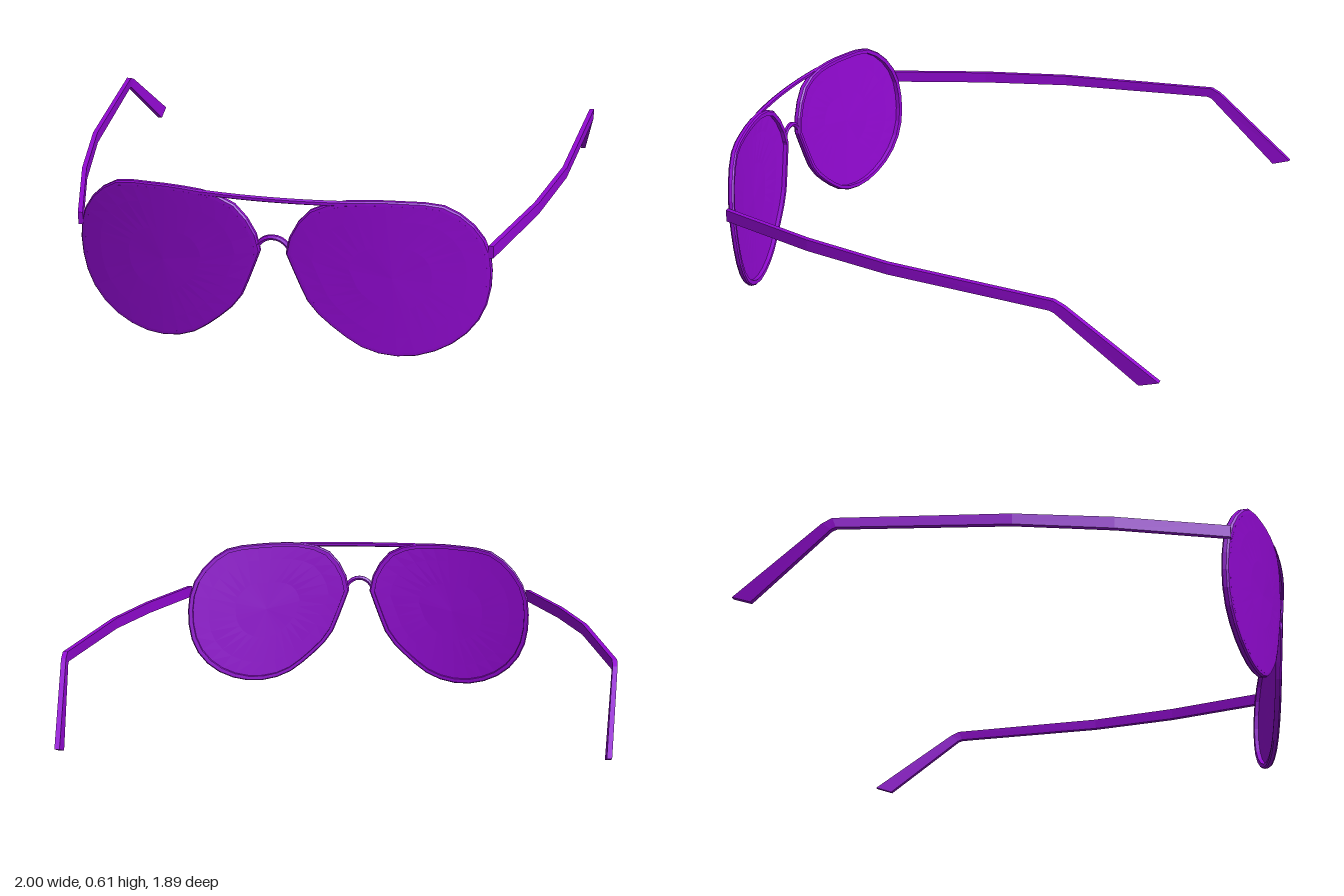
import * as THREE from 'three';

const V = (x, y, z) => new THREE.Vector3(x, y, z);

// Skin a list of closed cross-section loops; side = -1 mirrors across x.
function loft(sections, side) {
  const pos = [];
  const put = (...pts) => pts.forEach(p => pos.push(p.x * side, p.y, p.z));
  const tri = (a, b, c) => (side > 0 ? put(a, b, c) : put(a, c, b));
  for (let i = 0; i < sections.length - 1; i++) {
    const s = sections[i], t = sections[i + 1], n = s.length;
    for (let j = 0; j < n; j++) {
      const k = (j + 1) % n;
      if (!s[j].equals(s[k])) tri(s[j], s[k], t[k]);
      if (!t[j].equals(t[k])) tri(s[j], t[k], t[j]);
    }
  }
  const g = new THREE.BufferGeometry();
  g.setAttribute('position', new THREE.Float32BufferAttribute(pos, 3));
  g.computeVertexNormals();
  return g;
}

// Wrapped and tilted surface that the lenses and bridges follow.
const faceZ = (x, y) => 0.943 - 0.25 * x * x - 0.075 * (0.61 - y);

// Teardrop lens outline, clockwise from the top.
const outline = new THREE.CatmullRomCurve3([
  [0.32, 0.615], [0.46, 0.61], [0.58, 0.593], [0.68, 0.515], [0.735, 0.41], [0.737, 0.23],
  [0.69, 0.12], [0.6, 0.042], [0.47, 0.004], [0.33, 0.028], [0.215, 0.11], [0.125, 0.205],
  [0.075, 0.325], [0.045, 0.405], [0.072, 0.495], [0.135, 0.575], [0.22, 0.607],
].map(p => V(p[0], p[1], 0)), true).getSpacedPoints(32).slice(0, 32);

// Outline shrunk towards the lens centre and pushed onto the face surface.
function ring(scale, depth) {
  return outline.map(p => {
    const x = 0.41 + (p.x - 0.41) * scale, y = 0.32 + (p.y - 0.32) * scale;
    return V(x, y, faceZ(x, y) + depth);
  });
}

// Temple arm stations: [centre x, top y, top z, bottom y, bottom z].
const armStations = [
  [0.738, 0.436, 0.795, 0.39, 0.795],
  [0.857, 0.445, 0.4, 0.4, 0.4],
  [0.931, 0.453, 0.05, 0.411, 0.05],
  [0.991, 0.467, -0.585, 0.428, -0.57],
  [0.99, 0.45, -0.622, 0.422, -0.588],
  [0.951, 0.207, -0.95, 0.182, -0.88],
];

function armSections() {
  const half = 0.009;
  const loops = armStations.map(([x, ty, tz, by, bz]) => [
    V(x - half, ty, tz), V(x + half, ty, tz), V(x + half, by, bz), V(x - half, by, bz),
  ]);
  const cap = ([x, ty, tz, by, bz]) => Array.from({ length: 4 }, () => V(x, (ty + by) / 2, (tz + bz) / 2));
  return [cap(armStations[0]), ...loops, cap(armStations[armStations.length - 1])];
}

export function createModel() {
  const model = new THREE.Group();
  model.name = 'sunglasses';
  const purple = new THREE.MeshStandardMaterial({ color: 0x9209d2, flatShading: true });
  purple.name = 'purple';
  const add = (name, geometry) => {
    const mesh = new THREE.Mesh(geometry, purple);
    mesh.name = name;
    model.add(mesh);
  };

  for (const side of [1, -1]) {
    const label = side > 0 ? 'left' : 'right';
    // Lens: front and back skins, hidden edge inside the rim
    add(label + 'Lens', loft([
      ring(0, 0), ring(0.4, 0), ring(0.75, 0), ring(0.95, 0),
      ring(0.95, -0.01), ring(0.75, -0.01), ring(0.4, -0.01), ring(0, -0.01),
    ], side));
    // Rim: flush in front, raised lip behind
    add(label + 'Rim', loft([
      ring(0.94, 0), ring(0.985, -0.001), ring(1, -0.007), ring(1, -0.02),
      ring(0.985, -0.026), ring(0.94, -0.026), ring(0.94, 0),
    ], side));
    // Temple arm with bent ear tip
    add(label + 'Temple', loft(armSections(), side));
  }

  // Straight brow bar, following the face curve
  const brow = [-0.26, -0.13, 0, 0.13, 0.26].map(x => V(x, 0.604, faceZ(x, 0.604) - 0.007));
  add('browBar', new THREE.TubeGeometry(new THREE.CatmullRomCurve3(brow), 12, 0.01, 6));

  // Small arched nose bridge
  const arch = [[-0.065, 0.405], [-0.045, 0.437], [-0.022, 0.453], [0, 0.457], [0.022, 0.453], [0.045, 0.437], [0.065, 0.405]]
    .map(([x, y]) => V(x, y, faceZ(x, y) - 0.014));
  add('noseBridge', new THREE.TubeGeometry(new THREE.CatmullRomCurve3(arch), 12, 0.01, 6));

  return model;
}
